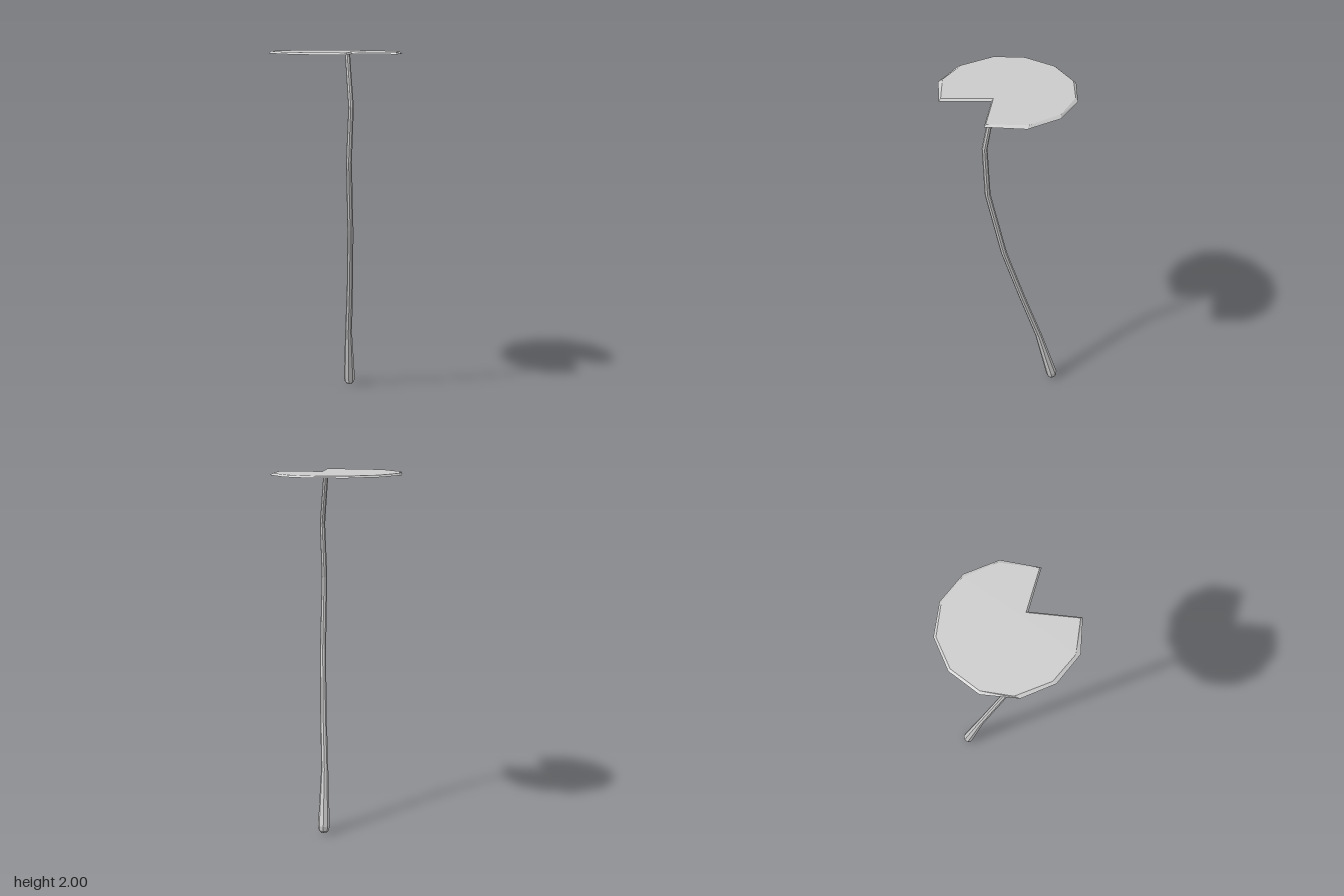
import * as THREE from 'three';

// Skins a stack of rings (bottom to top) and closes both ends with fans.
function loft(rings, bottomCentre, topCentre) {
  const n = rings[0].length;
  const points = [...rings.flat(), bottomCentre, topCentre];
  const bottom = points.length - 2, top = points.length - 1;
  const last = (rings.length - 1) * n;
  const index = [];
  for (let i = 0; i < n; i++) {
    const j = (i + 1) % n;
    for (let r = 0; r < last; r += n) {
      index.push(r + i, r + n + i, r + n + j, r + i, r + n + j, r + j);
    }
    index.push(bottom, i, j, top, last + j, last + i);
  }
  const indexed = new THREE.BufferGeometry().setFromPoints(points);
  indexed.setIndex(index);
  const geometry = indexed.toNonIndexed();
  geometry.computeVertexNormals();
  return geometry;
}

export function createModel() {
  const group = new THREE.Group();
  const material = new THREE.MeshStandardMaterial({ color: 0xcccccc, flatShading: true });
  const add = (name, geometry) => {
    const mesh = new THREE.Mesh(geometry, material);
    mesh.name = name;
    group.add(mesh);
  };
  const v = (x, y, z) => new THREE.Vector3(x, y, z);

  // Curved stem: x, y, z, radius at each joint, with a rounded foot
  const joints = [
    [0.222, 0.004, -0.135, 0.018],
    [0.222, 0.018, -0.135, 0.029],
    [0.22, 0.045, -0.133, 0.033],
    [0.165, 0.35, -0.073, 0.02],
    [0.107, 0.66, 0.01, 0.018],
    [0.042, 1.0, 0.093, 0.017],
    [-0.019, 1.4, 0.154, 0.016],
    [-0.019, 1.7, 0.171, 0.015],
    [0.001, 1.985, 0.114, 0.014],
  ];
  const sides = 8;
  const stemRings = joints.map(([x, y, z, r]) => Array.from({ length: sides }, (_, i) => {
    const a = (i / sides) * Math.PI * 2;
    return v(x + r * Math.cos(a), y, z + r * Math.sin(a));
  }));
  add('stem', loft(stemRings, v(0.222, 0, -0.135), v(0.001, 1.987, 0.114)));

  // Notched leaf pad: lower rim is wider than the upper one, slightly tilted
  const lowerRim = [
    [0, -0.348], [0.187, -0.298], [0.319, -0.163], [0.368, 0.018],
    [0.319, 0.207], [0.158, 0.345], [0.01, 0.146], [-0.176, 0.335],
    [-0.321, 0.205], [-0.368, 0.02], [-0.321, -0.163], [-0.187, -0.302],
  ];
  const upperRim = [
    [0, -0.335], [0.175, -0.29], [0.297, -0.17], [0.352, 0],
    [0.31, 0.187], [0.158, 0.332], [0.01, 0.131], [-0.176, 0.321],
    [-0.31, 0.184], [-0.35, 0.01], [-0.297, -0.18], [-0.175, -0.292],
  ];
  const onPad = (x, z, drop) => v(x, 1.994 - 0.012 * x + 0.008 * z - drop, z);
  const padRings = [
    lowerRim.map(([x, z]) => onPad(x, z, 0.011)),
    upperRim.map(([x, z]) => onPad(x, z, 0)),
  ];
  add('leafPad', loft(padRings, onPad(0, 0.11, 0.011), onPad(0, 0.11, 0)));

  return group;
}
